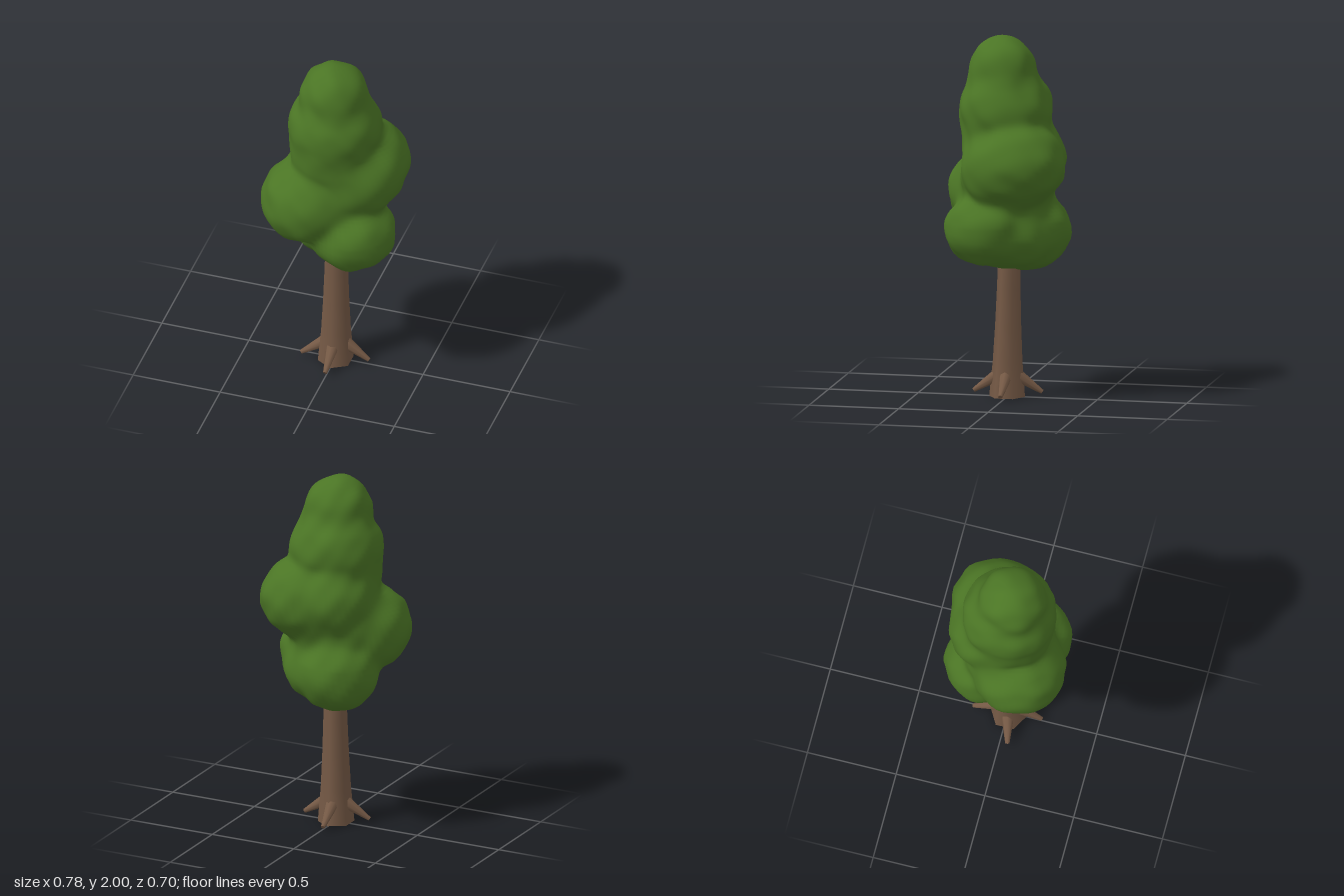
import * as THREE from 'three';
import { mergeVertices } from 'three/addons/utils/BufferGeometryUtils.js';

const leafGreen = new THREE.MeshStandardMaterial({ color: 0x4b7525 });
leafGreen.name = 'leaf green';
const barkBrown = new THREE.MeshStandardMaterial({ color: 0x765a46 });
barkBrown.name = 'bark brown';

// Leaf clumps: centre x, y, z and radii across and up
const CLUMPS = [
  [0.00, 1.80, 0.028, 0.185, 0.20],    // crown tip
  [0.00, 1.59, 0.01, 0.257, 0.25],     // upper crown
  [-0.01, 1.42, 0.02, 0.235, 0.22],    // crown base
  [0.13, 1.32, -0.09, 0.255, 0.23],    // middle, back left
  [0.13, 1.28, 0.00, 0.23, 0.22],      // middle, left
  [-0.03, 1.33, -0.085, 0.225, 0.22],  // middle, back right
  [-0.13, 1.13, 0.095, 0.257, 0.24],   // middle, front right
  [0.13, 0.95, 0.09, 0.23, 0.20],      // lower, front left
  [-0.07, 0.92, -0.11, 0.222, 0.215],  // lower, back right
  [0.07, 0.90, -0.06, 0.19, 0.16],     // lower, back left
  [-0.02, 0.90, -0.02, 0.20, 0.165],   // underside
  [0.00, 1.15, 0.00, 0.25, 0.30],      // core
];

// Signed distance to the softly joined clumps, with small lumps
function leafDistance(x, y, z) {
  const k = 0.05;
  let d = 1;
  for (const [cx, cy, cz, r, ry] of CLUMPS) {
    const e = (Math.hypot((x - cx) / r, (y - cy) / ry, (z - cz) / r) - 1) * Math.min(r, ry);
    const h = Math.max(k - Math.abs(d - e), 0) / k;
    d = Math.min(d, e) - h * h * k * 0.25;
  }
  const lumps = Math.sin(23 * x + 9 * y + 1) * Math.sin(21 * y - 8 * z + 2) * Math.sin(24 * z + 7 * x + 0.5)
    + 0.6 * Math.sin(34 * x - 15 * z) * Math.sin(31 * y + 12 * x);
  return d - 0.006 * lumps;
}

// One skin: a capsule shrunk inwards until it meets the clumps
function createFoliage() {
  const half = 0.38, midY = 1.36;
  let geo = new THREE.CapsuleGeometry(0.6, half * 2, 16, 72, 44);
  geo.deleteAttribute('uv');
  geo.deleteAttribute('normal');
  geo = mergeVertices(geo, 1e-4);
  const pos = geo.attributes.position;
  const axis = new THREE.Vector3(), dir = new THREE.Vector3(), p = new THREE.Vector3();
  for (let i = 0; i < pos.count; i++) {
    p.fromBufferAttribute(pos, i);
    axis.set(0, THREE.MathUtils.clamp(p.y, -half, half), 0);
    dir.subVectors(p, axis).normalize();
    axis.y += midY;
    let t = 0.6;
    for (let s = 0; s < 80; s++) {
      p.copy(axis).addScaledVector(dir, t);
      const d = leafDistance(p.x, p.y, p.z);
      if (d < 0.0005) break;
      t -= d * 0.6;
    }
    pos.setXYZ(i, p.x, p.y, p.z);
  }
  geo.computeVertexNormals();
  const mesh = new THREE.Mesh(geo, leafGreen);
  mesh.name = 'foliage';
  return mesh;
}

// Six-sided tapering trunk, leaning slightly backwards
function createTrunk() {
  const group = new THREE.Group();
  group.name = 'trunk';
  const profile = [[0.1, 0.005], [0.092, 0.1], [0.083, 0.2], [0.073, 0.4], [0.066, 0.6], [0.061, 0.8], [0.05, 0.95]];
  const geo = new THREE.LatheGeometry(profile.map(([r, y]) => new THREE.Vector2(r, y)), 6);
  const pos = geo.attributes.position;
  for (let i = 0; i < pos.count; i++) {
    pos.setZ(i, pos.getZ(i) + 0.004 - 0.015 * pos.getY(i));
  }
  const stem = new THREE.Mesh(geo, barkBrown);
  stem.name = 'stem';
  const base = new THREE.Mesh(new THREE.CircleGeometry(0.1, 6), barkBrown);
  base.name = 'trunkBase';
  base.rotation.set(Math.PI / 2, 0, Math.PI / 2);
  base.position.set(0, 0.005, 0.004);
  group.add(stem, base);
  return group;
}

// Blunt tapering root from the trunk down to the ground
function createRoot(angle) {
  const start = new THREE.Vector3(0, 0.125, 0.05), end = new THREE.Vector3(0, 0.033, 0.19);
  const along = end.clone().sub(start);
  const mesh = new THREE.Mesh(new THREE.CylinderGeometry(0.012, 0.037, along.length(), 8), barkBrown);
  mesh.position.copy(start).add(end).multiplyScalar(0.5);
  mesh.quaternion.setFromUnitVectors(new THREE.Vector3(0, 1, 0), along.normalize());
  mesh.name = 'root';
  const pivot = new THREE.Group();
  pivot.name = 'rootPivot';
  pivot.rotation.y = angle;
  pivot.add(mesh);
  return pivot;
}

export function createModel() {
  const tree = new THREE.Group();
  tree.name = 'tree';
  tree.add(createFoliage(), createTrunk());
  // Roots at front, left, back and right, slightly uneven
  for (const angle of [0, 1.57, 3.24, 4.95]) tree.add(createRoot(angle));
  return tree;
}
